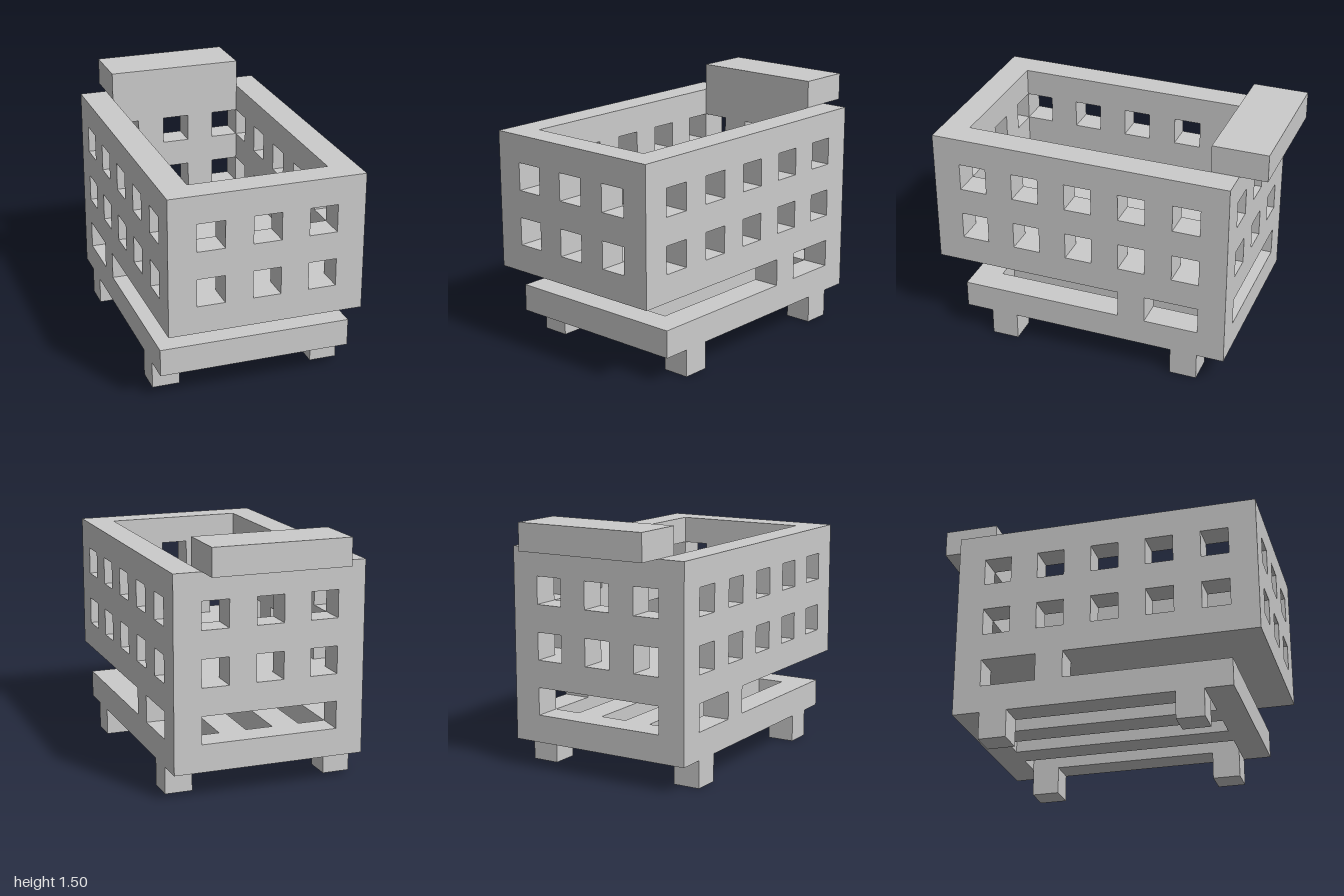
import * as THREE from 'three';

const U = 1 / 6; // everything sits on a grid of this size
const material = new THREE.MeshStandardMaterial({ color: 0xcccccc, flatShading: true });

// Rectangular hole given by its lower corner and size
function rectHole(x, y, w, h) {
  return new THREE.Path([[x, y], [x + w, y], [x + w, y + h], [x, y + h]].map(p => new THREE.Vector2(...p)));
}

function shapeFrom(points, holes) {
  const shape = new THREE.Shape(points.map(p => new THREE.Vector2(...p)));
  shape.holes.push(...holes);
  return shape;
}

const slab = shape => new THREE.ExtrudeGeometry(shape, { depth: 1, bevelEnabled: false });

// Two rows of square windows at the given columns
const windows = columns => columns.flatMap(c => [4, 6].map(y => rectHole(c - 0.5, y, 1, 1)));

// One-unit-thick wall, mitred at both ends so the corners meet cleanly
function wallGeometry(points, columns) {
  const geometry = slab(shapeFrom(points, windows(columns)));
  const us = points.map(p => p[0]);
  const min = Math.min(...us) + 1, max = Math.max(...us) - 1;
  const pos = geometry.attributes.position;
  for (let i = 0; i < pos.count; i++) {
    if (pos.getZ(i) < 0.5) pos.setX(i, THREE.MathUtils.clamp(pos.getX(i), min, max));
  }
  return geometry;
}

export function createModel() {
  const model = new THREE.Group();
  model.name = 'basketCart';

  const add = (name, geometry) => {
    geometry.scale(U, U, U);
    const mesh = new THREE.Mesh(geometry, material);
    mesh.name = name;
    model.add(mesh);
  };
  const addBox = (name, w, h, d, x, y, z) =>
    add(name, new THREE.BoxGeometry(w, h, d).translate(x, y, z));

  // Slatted base frame with three long slots
  const base = shapeFrom([[-3.5, -5], [3.5, -5], [3.5, 5], [-3.5, 5]],
    [-2, 0, 2].map(x => rectHole(x - 0.5, -4, 1, 8)));
  add('slattedBase', slab(base).rotateX(Math.PI / 2).translate(0, 2, 0));

  // Legs
  for (const x of [-3, 3]) {
    for (const z of [-3.5, 3.5]) addBox(z > 0 ? 'frontLeg' : 'backLeg', 1, 1, 1, x, 0.5, z);
  }

  // Front wall
  add('frontWall', wallGeometry([[-3.5, 3], [3.5, 3], [3.5, 8], [-3.5, 8]], [-2, 0, 2])
    .translate(0, 0, 5));

  // Back wall, with a wide opening above the base
  add('backWall', wallGeometry([[-3.5, 2], [-2.5, 2], [-2.5, 3], [2.5, 3], [2.5, 2],
    [3.5, 2], [3.5, 8], [-3.5, 8]], [-2, 0, 2])
    .rotateY(Math.PI).translate(0, 0, -4));

  // Side walls, each with a corner post and a middle post down to the base
  const sideOutline = [[-5, 2], [-4, 2], [-4, 3], [-2, 3], [-2, 2], [-1, 2], [-1, 3],
    [6, 3], [6, 8], [-5, 8]];
  const sideColumns = [-3.5, -1.5, 0.5, 2.5, 4.5];
  for (const side of [-1, 1]) {
    const geometry = wallGeometry(sideOutline.map(([z, y]) => [-side * z, y]),
      sideColumns.map(z => -side * z));
    add(side > 0 ? 'leftWall' : 'rightWall',
      geometry.rotateY(side * Math.PI / 2).translate(side * 2.5, 0, 0));
  }

  // Basket floor, level with the lower window sills
  addBox('basketFloor', 5, 1, 9, 0, 3.5, 0.5);

  // Push handle overhanging the back
  addBox('handle', 5, 1, 2, 0, 8.5, -5);

  return model;
}
